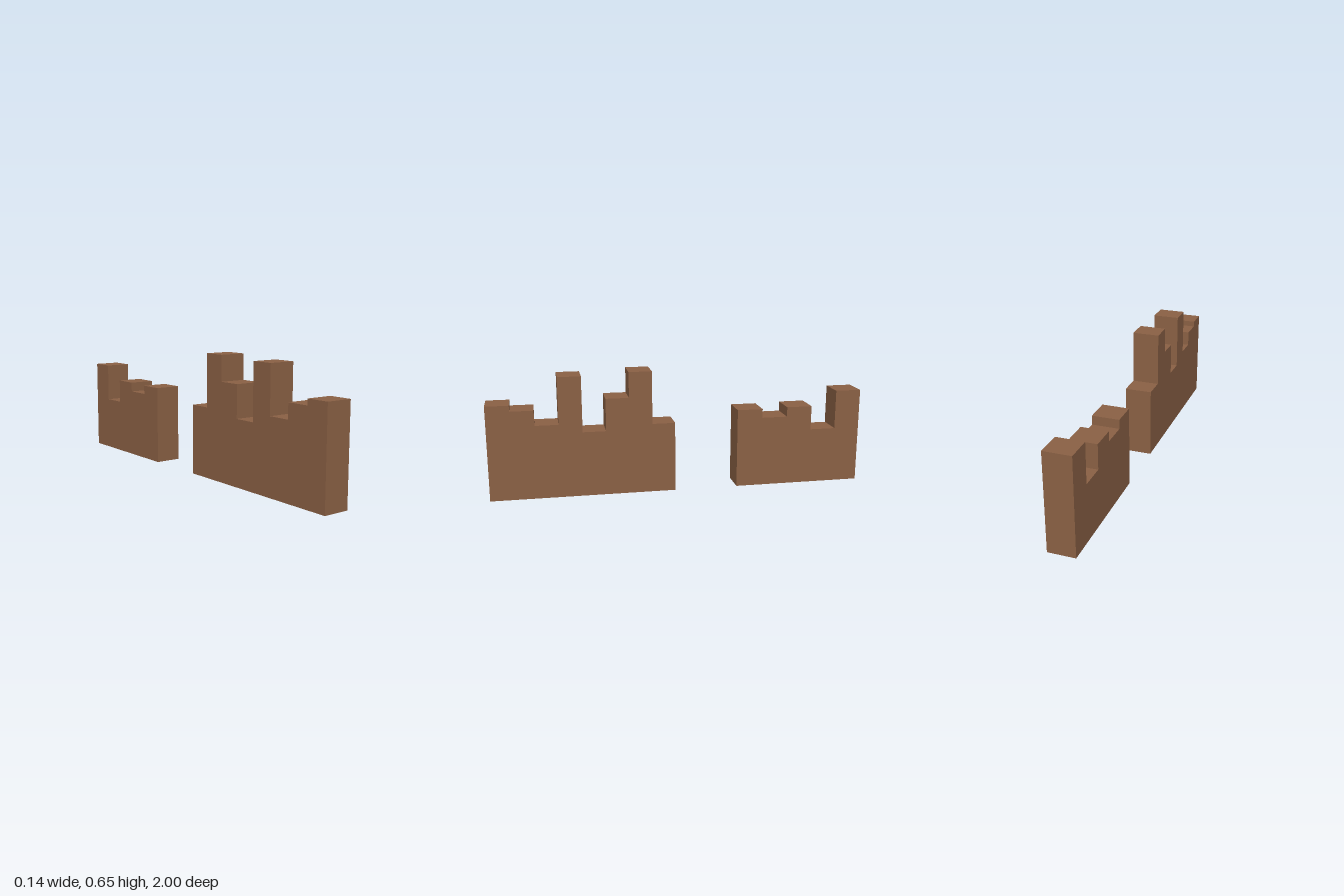
import * as THREE from 'three';

const THICKNESS = 0.142;

// Wall with a stepped, broken top: equal-width columns running from zStart to zEnd
function ruinedWall(name, zStart, zEnd, heights, material) {
  const step = (zEnd - zStart) / heights.length;
  const outline = new THREE.Shape();
  outline.moveTo(zStart, 0);
  heights.forEach((h, i) => {
    outline.lineTo(zStart + i * step, h);
    outline.lineTo(zStart + (i + 1) * step, h);
  });
  outline.lineTo(zEnd, 0);
  outline.closePath();

  const geometry = new THREE.ExtrudeGeometry(outline, { depth: THICKNESS, bevelEnabled: false });
  geometry.translate(0, 0, -THICKNESS / 2);
  geometry.rotateY(-Math.PI / 2); // outline runs along z, thickness along x
  const wall = new THREE.Mesh(geometry, material);
  wall.name = name;
  return wall;
}

export function createModel() {
  const brown = new THREE.MeshStandardMaterial({ color: 0x8b6145 });
  brown.name = 'earthBrown';

  const model = new THREE.Group();
  model.name = 'ruinedWall';

  // Long front section and short back section, with a gap between them
  model.add(
    ruinedWall('frontWall', 0.028, 1,
      [0.373, 0.653, 0.518, 0.346, 0.64, 0.392, 0.472, 0.503], brown),
    ruinedWall('backWall', -1, -0.312,
      [0.51, 0.3, 0.43, 0.378, 0.426], brown)
  );
  return model;
}
